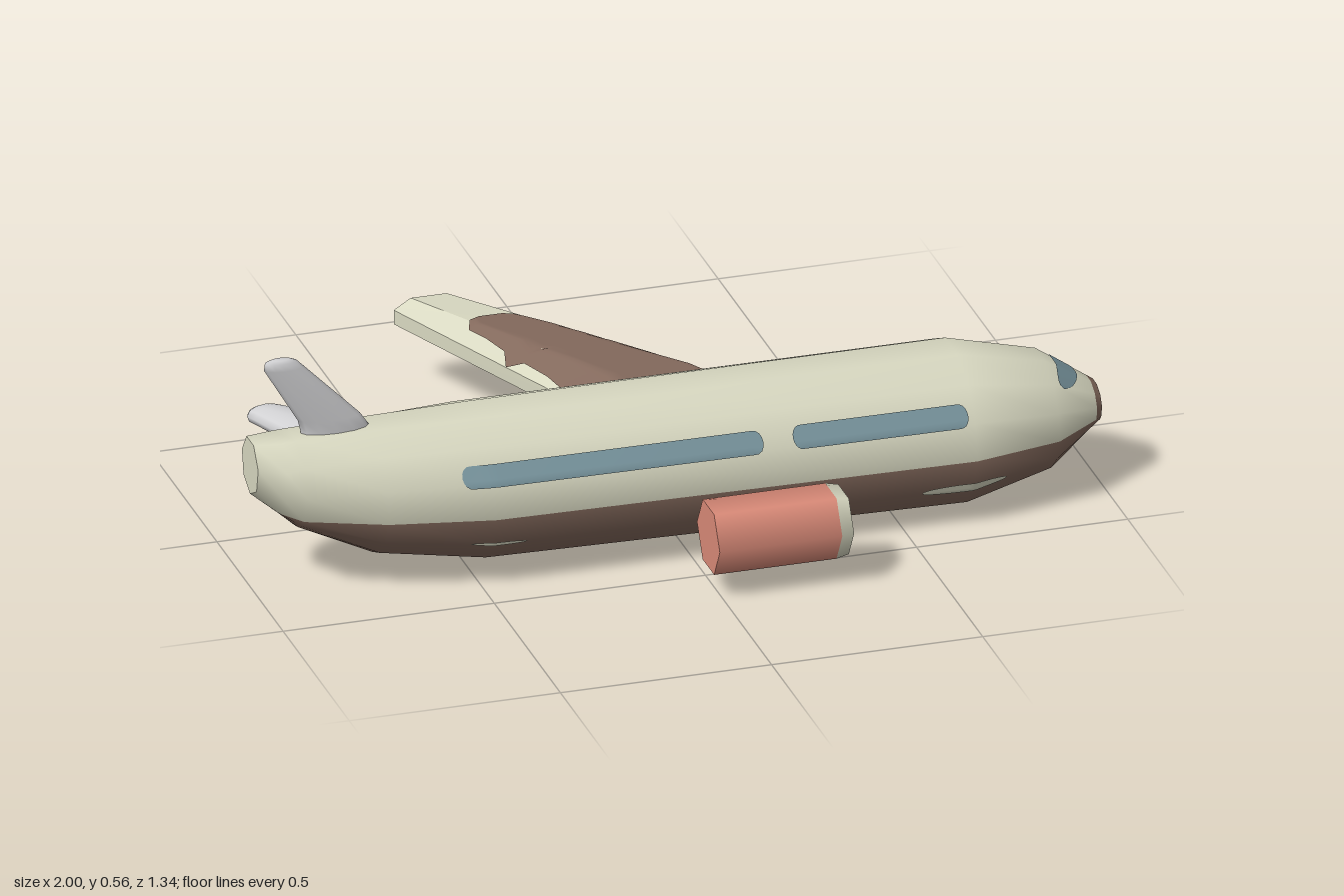
import * as THREE from 'three';
import { mergeVertices } from 'three/addons/utils/BufferGeometryUtils.js';

const mat = (name, color) => {
  const m = new THREE.MeshStandardMaterial({ color });
  m.name = name;
  return m;
};

// Surface from f(u, v) -> [x, y, z]; the front side faces du x dv
function grid(nu, nv, f) {
  const pos = [], index = [];
  for (let j = 0; j <= nv; j++)
    for (let i = 0; i <= nu; i++) pos.push(...f(i / nu, j / nv));
  for (let j = 0; j < nv; j++)
    for (let i = 0; i < nu; i++) {
      const a = j * (nu + 1) + i, c = a + nu + 1;
      index.push(a, a + 1, c, a + 1, c + 1, c);
    }
  let g = new THREE.BufferGeometry();
  g.setAttribute('position', new THREE.Float32BufferAttribute(pos, 3));
  g.setIndex(index);
  g = mergeVertices(g, 1e-5);
  g.computeVertexNormals();
  return g;
}

const lerp = THREE.MathUtils.lerp;

// Fuselage stations: x, bottom, top, half width
const stations = [
  [-1, 0.235, 0.37, 0.063], [-0.94, 0.186, 0.37, 0.096], [-0.9, 0.15, 0.37, 0.117],
  [-0.72, 0.064, 0.37, 0.162], [-0.48, 0.025, 0.37, 0.2025], [0.66, 0.002, 0.37, 0.2025],
  [0.87, 0.055, 0.32, 0.153], [0.985, 0.135, 0.245, 0.067], [1, 0.145, 0.235, 0.056],
];
const CZ = 0.25;

// Corner k of the 14-sided ring: 0..7 above the colour line, 7..14 below it
function corner(s, k, scale) {
  const [x, bottom, top, rz] = s;
  const cy = (bottom + top) / 2, ry = (top - bottom) / 1.95;
  const line = 0.19 - (x + 1) * 0.011;
  const a0 = Math.asin(THREE.MathUtils.clamp((line - cy) / ry, -1, 1));
  const a = k <= 7 ? a0 + (Math.PI - 2 * a0) * k / 7
    : Math.PI - a0 + (Math.PI + 2 * a0) * (k - 7) / 7;
  return [x, cy + ry * Math.sin(a) * scale, CZ + rz * Math.cos(a) * scale];
}

// Any point on the faceted hull, t in 0..14 around the ring
function hull(x, t, scale = 1) {
  let i = 0;
  while (i < stations.length - 2 && x > stations[i + 1][0]) i++;
  const f = (x - stations[i][0]) / (stations[i + 1][0] - stations[i][0]);
  const k = Math.min(13, Math.floor(t));
  const mix = (p, q, w) => p.map((n, d) => lerp(n, q[d], w));
  const ring = (s) => mix(corner(s, k, scale), corner(s, k + 1, scale), t - k);
  return mix(ring(stations[i]), ring(stations[i + 1]), f);
}

// Thin strip on the hull with ends rounded over length r
function hullStrip(x0, x1, t0, t1, r) {
  return grid(32, 6, (u, v) => {
    const x = lerp(x0, x1, (1 - Math.cos(Math.PI * u)) / 2);
    const d = Math.min(1, Math.min(x - x0, x1 - x) / r);
    const h = Math.sqrt(Math.max(0, 1 - (1 - d) ** 2));
    return hull(x, (t0 + t1) / 2 + (v - 0.5) * (t1 - t0) * h, 1.02);
  });
}

// Upright fin from sections: height, rear x, front x, half thickness
function fin(sections) {
  return grid(12, sections.length - 1, (u, v) => {
    const [y, x0, x1, h] = sections[Math.round(v * (sections.length - 1))];
    const a = u * Math.PI * 2;
    return [(x0 + x1) / 2 + (x1 - x0) / 2 * Math.cos(a), y, -h * Math.sin(a)];
  });
}

// Wing sections: z, leading x, trailing x, top y
const wing = [[0.12, 0.37, -0.13, 0.245], [-0.09, 0.225, -0.13, 0.243], [-0.675, -0.21, -0.37, 0.215]];
const profile = ([z, lead, trail, top]) => [
  [lead, 0.192, z], [lead, 0.155, z], [trail, 0.155, z], [trail, 0.19, z],
  [lerp(lead, trail, 0.75), top, z], [lerp(lead, trail, 0.22), top, z], [lead, 0.192, z],
];
function wingTop(x, z) {
  const i = z > wing[1][0] ? 0 : 1;
  const f = (z - wing[i][0]) / (wing[i + 1][0] - wing[i][0]);
  const [, lead, trail, top] = wing[i].map((n, d) => lerp(n, wing[i + 1][d], f));
  const c = (lead - x) / (lead - trail);
  if (c < 0.22) return lerp(0.192, top, Math.max(0, c) / 0.22);
  return c < 0.75 ? top : lerp(top, 0.19, Math.min(1, (c - 0.75) / 0.25));
}

export function createModel() {
  const model = new THREE.Group();
  model.name = 'airplane';
  const cream = mat('cream', 0xd8d8c1), brown = mat('brown', 0x83695c);
  const glass = mat('blue grey glass', 0x77939c), red = mat('dark red', 0x642b25);
  const grey = mat('light grey', 0xd0d0d2), salmon = mat('salmon', 0xd98a78);
  const dark = mat('charcoal', 0x454545);
  const add = (name, geometry, material) => {
    const m = new THREE.Mesh(geometry, material);
    m.name = name;
    model.add(m);
    return m;
  };

  // Fuselage: cream above, brown below, brown nose tip
  const n = stations.length - 2;
  const body = grid(n, 14, (u, v) => corner(stations[Math.round(u * n)], Math.round(v * 14), 1));
  body.addGroup(0, n * 7 * 6, 0);
  body.addGroup(n * 7 * 6, n * 7 * 6, 1);
  add('fuselage', body, [cream, brown]);
  add('noseRing', grid(1, 14, (u, v) => corner(stations[n + u], Math.round(v * 14), 1)), brown);
  add('noseCap', grid(1, 14, (u, v) => corner(stations[n + 1], Math.round(v * 14), 1 - u)), brown);
  add('tailCap', grid(1, 14, (u, v) => corner(stations[0], Math.round(v * 14), u)), cream);

  // Side windows and belly marks on both sides
  for (const left of [true, false]) {
    const strip = (name, x0, x1, t0, t1, r, m) =>
      add(name, left ? hullStrip(x0, x1, t0, t1, r)
        : hullStrip(x0, x1, (21 - t1) % 14, (21 - t0) % 14, r), m);
    strip('rearWindows', -0.55, 0.16, 0.92, 1.55, 0.02, glass);
    strip('frontWindows', 0.23, 0.645, 0.92, 1.55, 0.02, glass);
    strip('frontBellyMark', 0.535, 0.74, 12.9, 13.22, 0.1, cream);
    strip('rearBellyMark', -0.53, -0.4, 13.0, 13.12, 0.06, cream);
  }

  // Windscreen wrapping over the nose
  add('windscreen', grid(6, 28, (u, v) => {
    const s = 2 * v - 1;
    const x = 0.927 - 0.028 * s * s + (u - 0.5) * 0.052 * Math.sqrt(1 - s ** 4);
    return hull(x, 3.5 + 1.6 * s, 1.025);
  }), glass);

  // Single wing, one strip per facet
  const names = ['wingLeadingEdge', 'wingUnderside', 'wingTrailingEdge', 'wingRearTop', 'wingTop', 'wingFrontTop'];
  names.forEach((name, k) => add(name, grid(1, 2,
    (u, v) => profile(wing[Math.round(v * 2)])[k + u]), k ? cream : red));
  const tip = profile(wing[2]);
  add('wingTip', grid(6, 1, (u, v) => v ? tip[Math.round(u * 6)].map((c, d) => lerp(c, [-0.29, 0.18, -0.675][d], 1))
    : tip[Math.round(u * 6)]), red);

  // Brown panel on the wing: z, rear x, front x
  const panel = [
    [0.07, -0.128, 0.26], [-0.09, -0.128, 0.185], [-0.2, -0.155, 0.1], [-0.28, -0.185, 0.04],
    [-0.3, -0.222, 0.022], [-0.35, -0.21, -0.02], [-0.42, -0.232, -0.075], [-0.475, -0.255, -0.118],
    [-0.5, -0.245, -0.14], [-0.512, -0.22, -0.165],
  ];
  add('wingPanel', grid(24, panel.length - 1, (u, v) => {
    const [z, x0, x1] = panel[Math.round(v * (panel.length - 1))];
    const x = lerp(x0, x1, u);
    return [x, wingTop(x, z) + 0.004, z];
  }), brown);

  // Tail fin and single tailplane
  add('tailFin', fin([
    [0.34, -0.88, -0.71, 0.028], [0.37, -0.88, -0.72, 0.028], [0.4, -0.887, -0.74, 0.027],
    [0.535, -0.967, -0.873, 0.02], [0.552, -0.965, -0.89, 0.017], [0.558, -0.95, -0.905, 0.009],
    [0.558, -0.928, -0.928, 0],
  ]), grey).position.z = 0.25;
  const plane = fin([
    [-0.18, -0.85, -0.66, 0.034], [-0.1, -0.848, -0.685, 0.034], [0.04, -0.9, -0.8, 0.029],
    [0.06, -0.91, -0.822, 0.027], [0.072, -0.905, -0.832, 0.02], [0.072, -0.87, -0.87, 0],
  ]);
  plane.rotateX(-Math.PI / 2);
  add('tailplane', plane, grey).position.y = 0.274;

  // Six-sided engine pod
  const pod = (name, r1, r0, x0, x1, sides, open, m) => {
    const g = new THREE.CylinderGeometry(r1, r0, x1 - x0, sides, 1, open);
    g.rotateZ(-Math.PI / 2);
    add(name, g, m).position.set((x0 + x1) / 2, 0.135, 0.58);
  };
  pod('engineBody', 0.0865, 0.0865, -0.018, 0.272, 6, false, salmon);
  pod('engineLip', 0.08, 0.0865, 0.272, 0.302, 6, false, cream);
  pod('engineIntake', 0.05, 0.05, 0.298, 0.306, 16, false, dark);

  return model;
}
